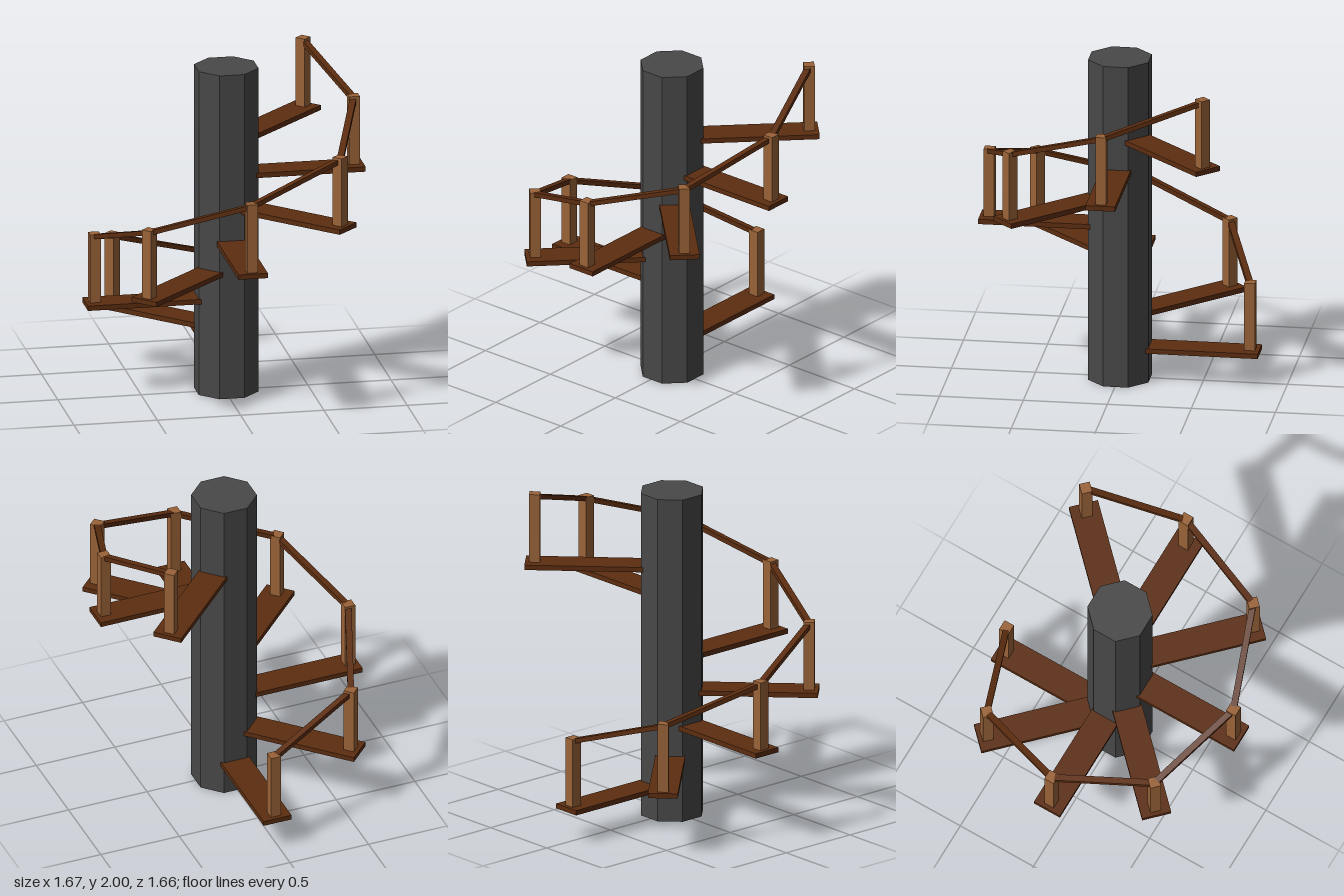
import * as THREE from 'three';

const CX = 0.012, CZ = -0.005;      // axis of the stair
const STEPS = 8, RISE = 0.19, FIRST = 0.2;
const TREAD = { inner: 0.16, width: 0.177, thick: 0.03 };
const POST = { size: 0.064, height: 0.42, inset: 0.056 };

function material(name, color) {
  const m = new THREE.MeshStandardMaterial({ color });
  m.name = name;
  return m;
}

function addMesh(parent, name, geometry, mat) {
  const mesh = new THREE.Mesh(geometry, mat);
  mesh.name = name;
  parent.add(mesh);
  return mesh;
}

export function createModel() {
  const iron = material('dark iron', 0x484848);
  const darkWood = material('dark wood', 0x5c2d10);
  const lightWood = material('light wood', 0x9a6338);
  const model = new THREE.Group();
  model.name = 'spiralStaircase';

  // Central eight-sided column, flat faces to the axes
  const columnGeo = new THREE.CylinderGeometry(0.194, 0.194, 2, 8).toNonIndexed();
  columnGeo.rotateY(Math.PI / 8);
  columnGeo.computeVertexNormals();
  addMesh(model, 'column', columnGeo, iron).position.set(CX, 1, CZ);

  // Treads climb from the back, round by the right side to the front
  const railPoints = [];
  for (let i = 0; i < STEPS; i++) {
    const y = FIRST + i * RISE;
    const tip = i % 2 ? 0.866 : i === 2 ? 0.847 : i === 6 ? 0.82 : 0.832;
    const step = new THREE.Group();
    step.name = 'step' + (i + 1);
    step.position.set(CX, y, CZ);
    step.rotation.y = Math.PI + i * Math.PI / 4;
    model.add(step);

    const length = tip - TREAD.inner;
    addMesh(step, 'tread', new THREE.BoxGeometry(TREAD.width, TREAD.thick, length), darkWood)
      .position.z = TREAD.inner + length / 2;

    // Baluster near the outer end
    const post = addMesh(step, 'post', new THREE.BoxGeometry(POST.size, POST.height, POST.size), lightWood);
    post.position.set(0, TREAD.thick / 2 + POST.height / 2, tip - POST.inset);

    step.updateMatrix();
    railPoints.push(new THREE.Vector3(0, 0.415, tip - POST.inset).applyMatrix4(step.matrix));
  }

  // Handrail bars from post to post
  for (let i = 0; i < STEPS - 1; i++) {
    const a = railPoints[i], b = railPoints[i + 1];
    const rail = addMesh(model, 'handrail' + (i + 1),
      new THREE.BoxGeometry(0.038, 0.028, a.distanceTo(b)), darkWood);
    rail.position.copy(a).lerp(b, 0.5);
    rail.lookAt(b);
  }
  return model;
}
